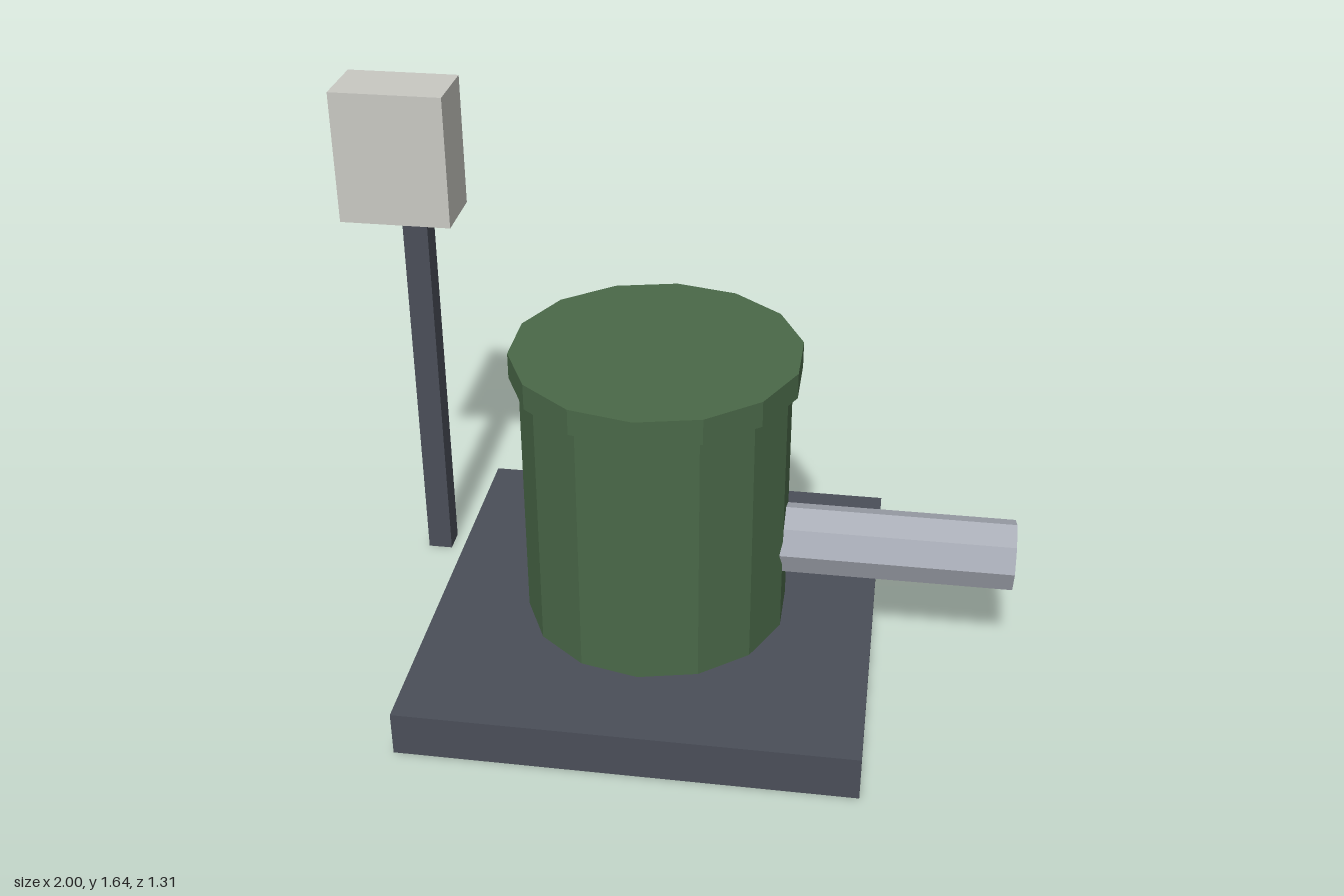
import * as THREE from 'three';

export function createModel() {
  const group = new THREE.Group();
  group.name = 'tankWithPipe';

  const material = (name, color) => {
    const m = new THREE.MeshStandardMaterial({ color, flatShading: true });
    m.name = name;
    return m;
  };
  const slate = material('slate', 0x4a4e58);
  const green = material('green', 0x4a6848);
  const steel = material('steel', 0xa9adb7);
  const paleGrey = material('paleGrey', 0xc8c8c2);

  const add = (name, geometry, mat, x, y, z) => {
    const mesh = new THREE.Mesh(geometry, mat);
    mesh.name = name;
    mesh.position.set(x, y, z);
    group.add(mesh);
    return mesh;
  };
  // Box given by its lower and upper corners
  const addBox = (name, mat, [x0, y0, z0], [x1, y1, z1]) =>
    add(name, new THREE.BoxGeometry(x1 - x0, y1 - y0, z1 - z0), mat,
      (x0 + x1) / 2, (y0 + y1) / 2, (z0 + z1) / 2);
  // Upright fourteen-sided drum section
  const addDrum = (name, radius, y0, y1) =>
    add(name, new THREE.CylinderGeometry(radius, radius, y1 - y0, 14), green,
      -0.05, (y0 + y1) / 2, 0);

  // Base slab
  addBox('base', slate, [-0.705, 0, -0.655], [0.605, 0.135, 0.655]);

  // Tank and its overhanging lid
  addDrum('tank', 0.392, 0.135, 0.92);
  addDrum('lid', 0.419, 0.92, 0.997);

  // Octagonal outlet pipe, starting inside the tank
  const pipe = add('outletPipe', new THREE.CylinderGeometry(0.104, 0.104, 0.8, 8), steel, 0.6, 0.395, 0);
  pipe.rotation.z = -Math.PI / 2;

  // Post with the control box on its front
  addBox('post', slate, [-0.876, 0, -0.434], [-0.8, 1.445, -0.357]);
  addBox('controlBox', paleGrey, [-1, 1.25, -0.36], [-0.673, 1.642, -0.166]);

  return group;
}
